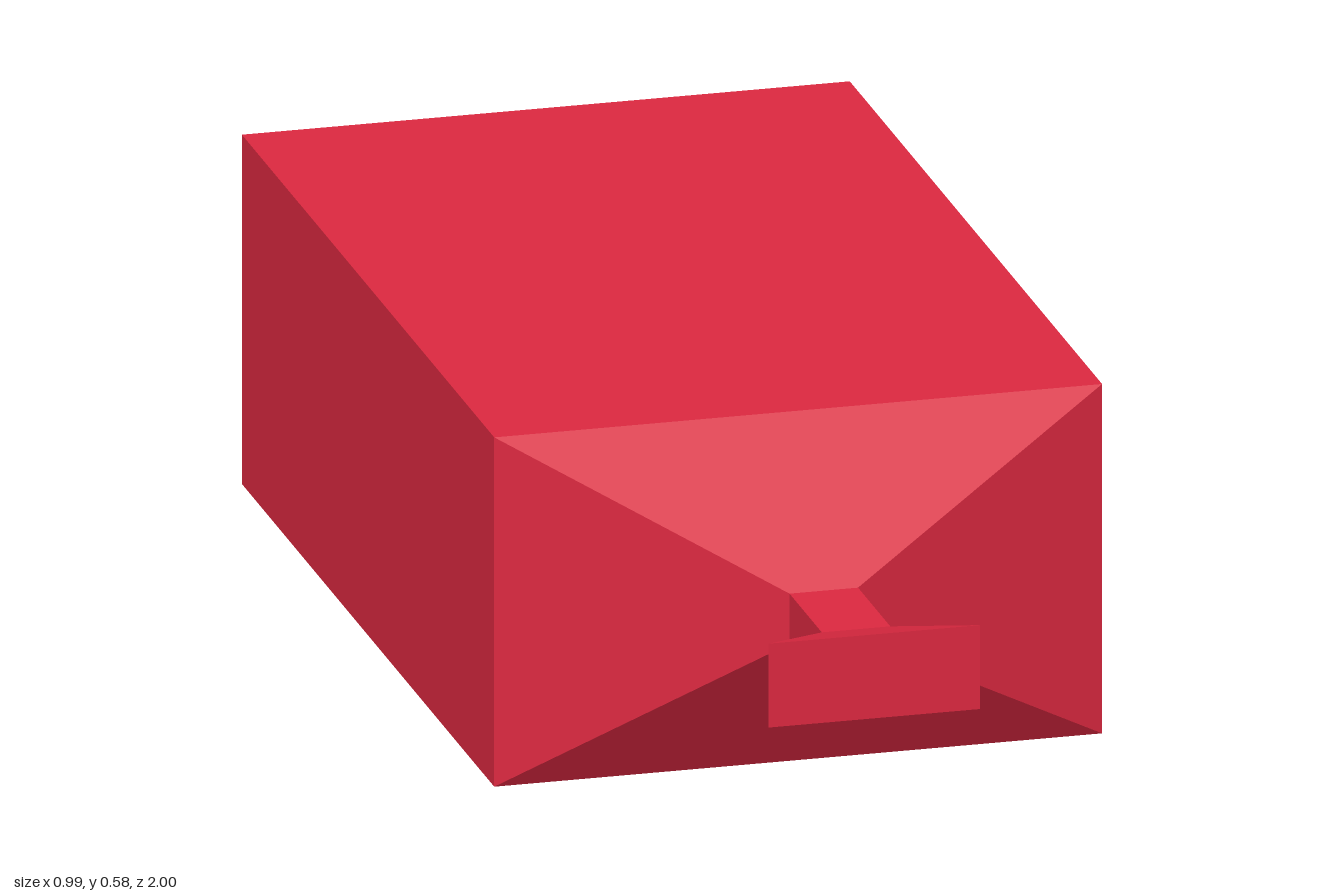
import * as THREE from 'three';

// Rectangular loft along z; sections are [z, halfWidth, yBottom, yTop], back to front
function rectLoft(sections) {
  const corners = sections.map(([z, w, b, t]) => [[-w, b, z], [w, b, z], [w, t, z], [-w, t, z]]);
  const pos = [];
  const quad = (a, b, c, d) => pos.push(...a, ...b, ...c, ...a, ...c, ...d);
  for (let i = 0; i + 1 < corners.length; i++) {
    const p = corners[i], q = corners[i + 1];
    for (let k = 0; k < 4; k++) {
      const n = (k + 1) % 4;
      quad(p[k], p[n], q[n], q[k]);
    }
  }
  const [a, b, c, d] = corners[0];
  quad(d, c, b, a);
  quad(...corners[corners.length - 1]);
  const geo = new THREE.BufferGeometry();
  geo.setAttribute('position', new THREE.Float32BufferAttribute(pos, 3));
  geo.computeVertexNormals();
  return geo;
}

export function createModel() {
  const model = new THREE.Group();
  const red = new THREE.MeshStandardMaterial({ color: 0xdc2840, flatShading: true });
  const black = new THREE.MeshStandardMaterial({ color: 0x0a0a0a, flatShading: true });

  const add = (name, geo, mat) => {
    const mesh = new THREE.Mesh(geo, mat);
    mesh.name = name;
    model.add(mesh);
    return mesh;
  };

  // Box body with tapered shoulder, narrow neck and flared mouth
  add('body', rectLoft([
    [-0.985, 0.497, 0, 0.583],
    [0.54, 0.497, 0, 0.583],
    [0.695, 0.056, 0.25, 0.334],
    [0.89, 0.056, 0.25, 0.334],
    [1, 0.173, 0.222, 0.362],
  ]), red);

  // Two shallow six-sided studs on the back wall
  for (const side of [-1, 1]) {
    const geo = new THREE.CylinderGeometry(0.022, 0.063, 0.015, 6).rotateX(-Math.PI / 2);
    const stud = add(side > 0 ? 'leftStud' : 'rightStud', geo, black);
    stud.scale.x = 0.56;
    stud.position.set(side * 0.25, 0.293, -0.9925);
  }
  return model;
}
